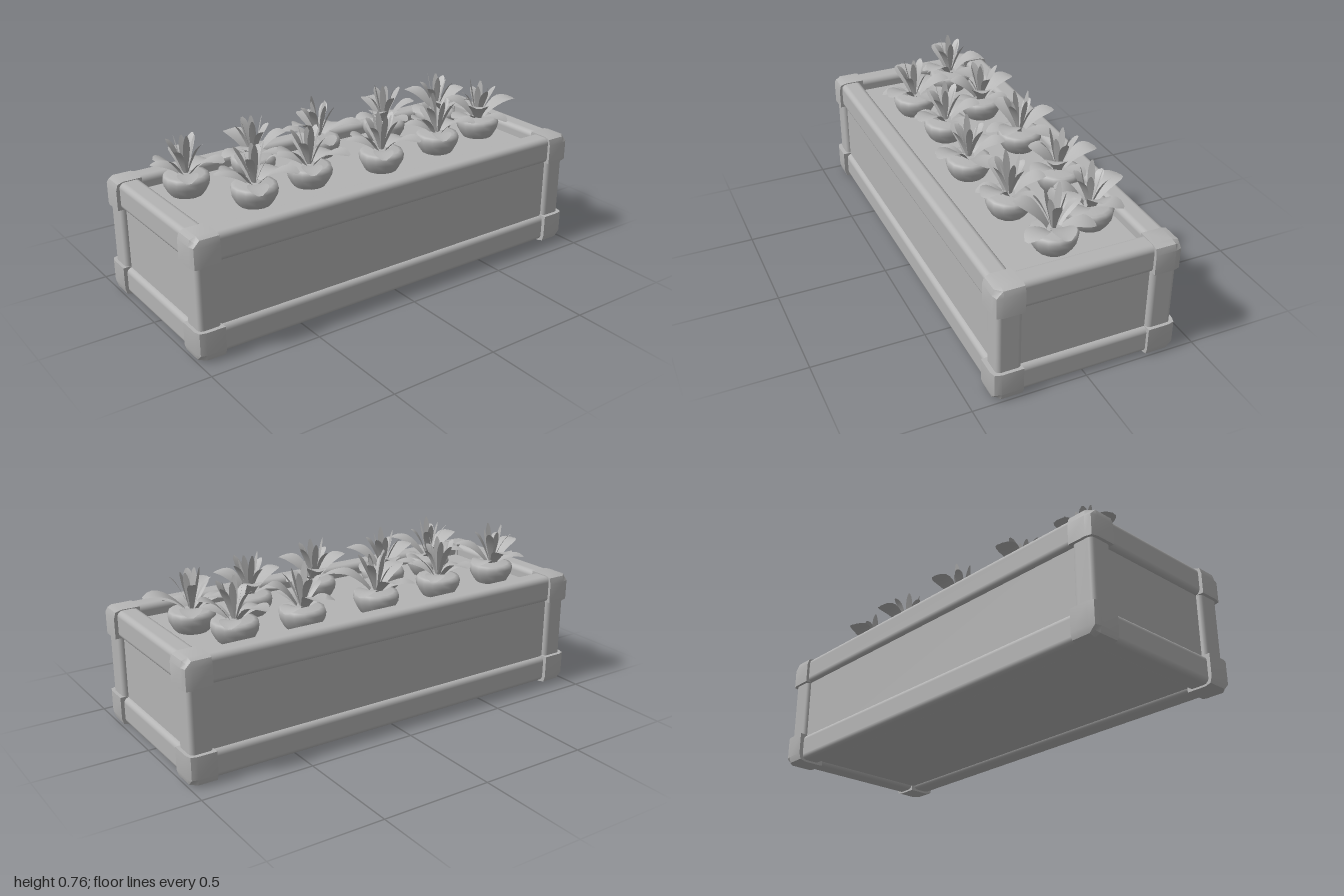
import * as THREE from 'three';
import { RoundedBoxGeometry } from 'three/addons/geometries/RoundedBoxGeometry.js';
import { toCreasedNormals } from 'three/addons/utils/BufferGeometryUtils.js';

const grey = new THREE.MeshStandardMaterial({ color: 0xb4b4b4, side: THREE.DoubleSide });
grey.name = 'plainGrey';

function add(parent, name, geometry, x = 0, y = 0, z = 0) {
  const mesh = new THREE.Mesh(geometry, grey);
  mesh.name = name;
  mesh.position.set(x, y, z);
  parent.add(mesh);
  return mesh;
}

// Corner cap: square towards the frame, chamfered on the three outward sides
function capGeometry(size, signs) {
  const chamfer = 0.035;
  const geo = new THREE.BoxGeometry(...size, 2, 2, 2);
  const pos = geo.attributes.position;
  for (let i = 0; i < pos.count; i++) {
    const p = [pos.getX(i), pos.getY(i), pos.getZ(i)];
    const outer = p.map((v, k) => v * signs[k] > 0.01);
    const count = outer.filter(Boolean).length;
    const pull = count === 3 ? 0.018 : count === 2 ? 0.008 : 0;
    const q = p.map((v, k) => {
      if (outer[k]) return v - signs[k] * pull;
      return Math.abs(v) < 0.01 ? signs[k] * (size[k] / 2 - chamfer) : v;
    });
    pos.setXYZ(i, ...q);
  }
  return toCreasedNormals(geo, 0.6);
}

// Leaf blade: an oval on a narrow stalk, bent along an arc from crown to tip
function leafGeometry({ length, width, base, peak, tip, angle, start = 0.015 }) {
  const geo = new THREE.PlaneGeometry(1, 1, 2, 8);
  const pos = geo.attributes.position;
  for (let i = 0; i < pos.count; i++) {
    const u = pos.getX(i) * 2, t = pos.getY(i) + 0.5;
    const w = 0.5 * width * Math.pow(Math.sin(Math.PI * (0.07 + 0.89 * Math.pow(t, 1.6))), 0.7);
    const y = base * (1 - t) ** 2 + 2 * peak * t * (1 - t) + tip * t * t;
    pos.setXYZ(i, u * w, y + Math.abs(u) * w * 0.12, -(start + (length - start) * t));
  }
  geo.rotateY(-angle - Math.PI / 2);
  geo.computeVertexNormals();
  return geo;
}

// Bowl with a domed fill
const potGeometry = new THREE.LatheGeometry(
  [[0, -0.01], [0.06, -0.01], [0.082, 0.02], [0.098, 0.05], [0.102, 0.075],
    [0.096, 0.092], [0.08, 0.094], [0.045, 0.098], [0, 0.1]].map(([r, y]) => new THREE.Vector2(r, y)), 14);

// Broad leaves: angle from the longest leaf, length, width, peak, tip height
const broadLeaves = [
  [0, 0.2, 0.1, 0.2, 0.165], [57, 0.155, 0.09, 0.14, 0.1], [120, 0.165, 0.095, 0.2, 0.19],
  [165, 0.17, 0.085, 0.15, 0.125], [228, 0.165, 0.095, 0.19, 0.17], [284, 0.165, 0.095, 0.15, 0.11],
];

function createPlant(x, z, degrees, spread, index) {
  const plant = new THREE.Group();
  plant.name = 'plant';
  plant.position.set(x, 0.475, z);
  add(plant, 'pot', potGeometry);
  const turn = THREE.MathUtils.degToRad(degrees);
  for (const [a, length, width, peak, tip] of broadLeaves) {
    add(plant, 'broadLeaf', leafGeometry({
      length: length * spread, width, peak, tip, base: 0.085, angle: turn + THREE.MathUtils.degToRad(a),
    }));
  }
  // Narrow upright leaves in the middle
  for (let i = 0; i < 8; i++) {
    const inner = i % 2;
    add(plant, 'innerLeaf', leafGeometry({
      length: inner ? 0.045 : 0.085, width: inner ? 0.03 : 0.038, start: 0.008,
      base: 0.095, peak: inner ? 0.19 : 0.21,
      tip: (inner ? 0.265 : 0.235) + 0.015 * Math.sin(i * 2.3 + index),
      angle: turn + i * Math.PI / 4 + 0.2 * Math.sin(i * 3.1 + index),
    }));
  }
  return plant;
}

export function createModel() {
  const model = new THREE.Group();
  model.name = 'planter';

  // Side panels, floor and the soil surface
  add(model, 'boxBody', new THREE.BoxGeometry(1.924, 0.455, 0.744), 0, 0.2525, 0);

  // Rails, corner caps and posts
  const longRail = new RoundedBoxGeometry(1.8, 0.123, 0.1, 3, 0.025);
  const shortRail = new RoundedBoxGeometry(0.1, 0.123, 0.62, 3, 0.025);
  const post = new RoundedBoxGeometry(0.1, 0.34, 0.11, 3, 0.02);
  const levels = [
    { sy: -1, railY: 0.07, capY: 0.068, capSize: [0.12, 0.136, 0.13], capZ: 0.345 },
    { sy: 1, railY: 0.472, capY: 0.4735, capSize: [0.12, 0.127, 0.125], capZ: 0.342 },
  ];
  for (const { sy, railY, capY, capSize, capZ } of levels) {
    for (const s of [-1, 1]) {
      add(model, 'longRail', longRail, 0, railY, s * 0.342);
      add(model, 'shortRail', shortRail, s * 0.934, railY, 0);
      for (const sx of [-1, 1]) {
        add(model, 'cornerCap', capGeometry(capSize, [sx, sy, s]), sx * 0.94, capY, s * capZ);
      }
    }
  }
  for (const sx of [-1, 1]) for (const sz of [-1, 1]) {
    add(model, 'cornerPost', post, sx * 0.935, 0.27, sz * 0.336);
  }

  // Two staggered rows of plants: x, z, direction of the longest leaf, spread
  const plants = [
    [-0.74, -0.14, 55, 0.9], [-0.4, -0.16, -100, 0.9], [-0.03, -0.19, 45, 1],
    [0.35, -0.19, -85, 0.86], [0.66, -0.17, -110, 0.9],
    [-0.56, 0.12, 55, 1], [-0.26, 0.08, 60, 0.95], [0.1, 0.12, 65, 0.95],
    [0.45, 0.09, 60, 0.9], [0.75, 0.04, 12, 1],
  ];
  plants.forEach(([x, z, degrees, spread], i) => model.add(createPlant(x, z, degrees, spread, i)));
  return model;
}
